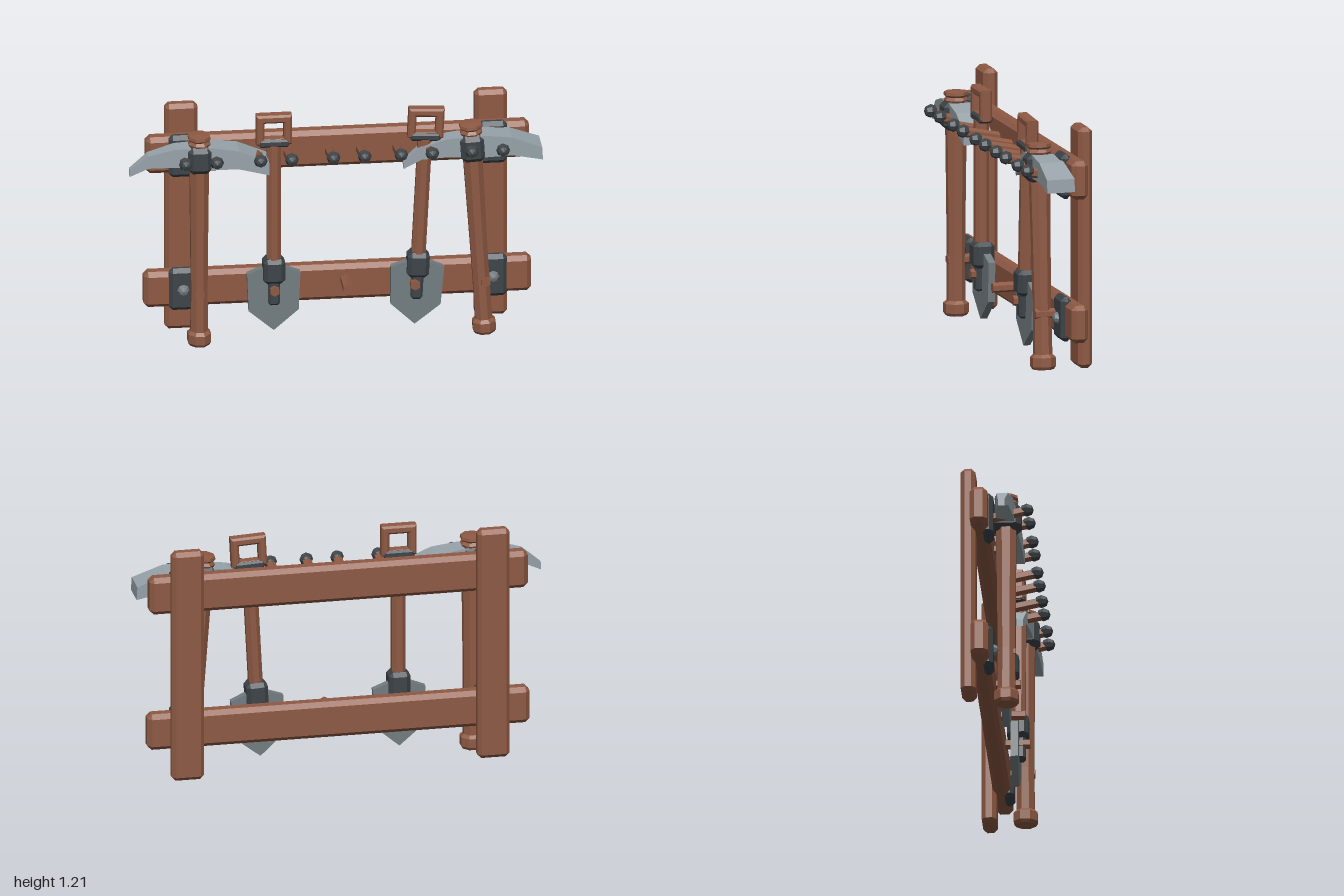
import * as THREE from 'three';
import { ConvexGeometry } from 'three/addons/geometries/ConvexGeometry.js';

const wood = new THREE.MeshStandardMaterial({ color: 0x8f5a44 });
wood.name = 'wood';
const iron = new THREE.MeshStandardMaterial({ color: 0x3d4448 });
iron.name = 'dark iron';
const steel = new THREE.MeshStandardMaterial({ color: 0x97a3aa });
steel.name = 'pale steel';
const blade = new THREE.MeshStandardMaterial({ color: 0x737d81 });
blade.name = 'grey steel';

// Facets every face so the low-poly look is kept
function add(parent, name, geometry, material, x = 0, y = 0, z = 0) {
  const g = geometry.index ? geometry.toNonIndexed() : geometry;
  g.computeVertexNormals();
  const mesh = new THREE.Mesh(g, material);
  mesh.name = name;
  mesh.position.set(x, y, z);
  parent.add(mesh);
  return mesh;
}

// Box with cut-off edges
function chamferBox(w, h, d, c) {
  const points = [];
  for (const sx of [-1, 1]) for (const sy of [-1, 1]) for (const sz of [-1, 1]) {
    for (let full = 0; full < 3; full++) {
      const cut = (i) => (i === full ? 0 : c);
      points.push(new THREE.Vector3(sx * (w / 2 - cut(0)), sy * (h / 2 - cut(1)), sz * (d / 2 - cut(2))));
    }
  }
  return new ConvexGeometry(points);
}

// Faceted turning from [radius, y] pairs, flats facing front
function turned(profile, sides) {
  const g = new THREE.LatheGeometry(profile.map(([r, y]) => new THREE.Vector2(r, y)), sides);
  return g.rotateY(Math.PI / sides);
}

// Curved bar from stations [x, bottom, top, half depth]
function pickBlade(stations) {
  const pos = [], index = [];
  for (const [x, b, t, h] of stations) pos.push(x, b, h, x, t, h, x, t, -h, x, b, -h);
  for (let i = 0; i < stations.length - 1; i++) {
    for (let k = 0; k < 4; k++) {
      const a = i * 4 + k, b = i * 4 + (k + 1) % 4;
      index.push(a, a + 4, b, b, a + 4, b + 4);
    }
  }
  const e = (stations.length - 1) * 4;
  index.push(0, 1, 2, 0, 2, 3, e, e + 2, e + 1, e, e + 3, e + 2);
  const g = new THREE.BufferGeometry();
  g.setAttribute('position', new THREE.Float32BufferAttribute(pos, 3));
  g.setIndex(index);
  return g;
}

function makePickaxe() {
  const tool = new THREE.Group();
  tool.name = 'pickaxe';
  const handle = turned([[0, 0.005], [0.05, 0.01], [0.06, 0.025], [0.06, 0.07], [0.045, 0.085],
    [0.043, 0.3], [0.046, 0.6], [0.05, 0.92], [0.05, 1.06], [0.058, 1.075], [0.048, 1.09],
    [0.058, 1.1], [0.056, 1.115], [0, 1.12]], 8);
  add(tool, 'pickaxeHandle', handle.scale(1, 1, 1.05), wood, 0, 0, 0.038);
  add(tool, 'pickaxeHead', pickBlade([
    [-0.34, 0.915, 0.95, 0.016], [-0.25, 0.96, 1.025, 0.028], [-0.12, 0.965, 1.06, 0.042],
    [0.06, 0.95, 1.065, 0.055], [0.19, 0.95, 1.045, 0.062], [0.335, 0.915, 0.98, 0.07]]),
  steel, 0, 0, 0.035);
  add(tool, 'pickaxeCollar', chamferBox(0.12, 0.14, 0.145, 0.025), iron, 0, 1.0, 0.038);
  return tool;
}

function makeShovel() {
  const tool = new THREE.Group();
  tool.name = 'shovel';
  // Pointed blade
  const outline = new THREE.Shape([[-0.13, 0.36], [-0.122, 0.165], [0, 0.06], [0.122, 0.165],
    [0.13, 0.36], [0.055, 0.39], [-0.055, 0.39]].map(([x, y]) => new THREE.Vector2(x, y)));
  add(tool, 'shovelBlade', new THREE.ExtrudeGeometry(outline, { depth: 0.035, bevelEnabled: false }),
    blade, 0, 0, -0.005);
  // Socket, rib and shaft
  add(tool, 'shovelSocket', chamferBox(0.107, 0.13, 0.105, 0.02), iron, 0, 0.38, 0.022);
  add(tool, 'shovelRib', chamferBox(0.058, 0.15, 0.06, 0.012), iron, 0, 0.275, 0.03);
  add(tool, 'shovelShaft', turned([[0, 0.4], [0.037, 0.4], [0.037, 1.06], [0, 1.06]], 8), wood, 0, 0, 0.025);
  // Open grip
  const rect = (T, x, y0, y1) => new T([[-x, y0], [x, y0], [x, y1], [-x, y1]]
    .map(([a, b]) => new THREE.Vector2(a, b)));
  const grip = rect(THREE.Shape, 0.077, 1.06, 1.195);
  grip.holes.push(rect(THREE.Path, 0.058, 1.07, 1.173));
  add(tool, 'shovelGrip', new THREE.ExtrudeGeometry(grip, {
    depth: 0.04, bevelThickness: 0.01, bevelSize: 0.01, bevelSegments: 1,
  }), wood, 0, 0, 0.005);
  add(tool, 'gripBand', chamferBox(0.15, 0.04, 0.07, 0.01), iron, 0, 1.058, 0.025);
  return tool;
}

export function createModel() {
  const rack = new THREE.Group();
  rack.name = 'toolRack';

  // Frame
  for (const x of [-0.73, 0.78]) {
    add(rack, 'post', chamferBox(0.16, 1.19, 0.072, 0.02), wood, x, 0.62, -0.14);
  }
  add(rack, 'topRail', chamferBox(1.87, 0.19, 0.085, 0.022), wood, 0.025, 0.975, -0.083);
  add(rack, 'bottomRail', chamferBox(1.89, 0.185, 0.085, 0.022), wood, 0.025, 0.265, -0.079);

  // Iron plates with bolts on the lower pair
  for (const x of [-0.73, 0.78]) {
    for (const y of [0.27, 0.975]) {
      add(rack, 'bracket', chamferBox(0.14, 0.22, 0.055, 0.02), iron, x, y, -0.046);
    }
    add(rack, 'bolt', new THREE.SphereGeometry(0.03, 8, 4).rotateX(Math.PI / 2).scale(1, 1, 0.8),
      blade, x, 0.27, -0.018);
  }

  // Pairs of tipped pegs on the top rail, single pegs below
  for (const x of [-0.66, -0.295, 0.06, 0.39, 0.735]) {
    for (const side of [-1, 1]) {
      const px = x + side * 0.076;
      const peg = add(rack, 'peg', new THREE.CylinderGeometry(0.025, 0.025, 0.19, 6), wood, px, 0.985, 0.035);
      peg.rotation.x = Math.PI / 2 - 0.2;
      add(rack, 'pegTip', new THREE.SphereGeometry(0.034, 8, 4).rotateX(Math.PI / 2), iron, px, 1.01, 0.142);
    }
    add(rack, 'lowerPeg', new THREE.CylinderGeometry(0.025, 0.025, 0.14, 6).rotateX(Math.PI / 2),
      wood, x, 0.285, 0.013);
  }

  // Hung tools: [maker, foot x, lean]
  for (const [make, x, lean] of [[makePickaxe, -0.66, 0], [makePickaxe, 0.732, 0.062],
    [makeShovel, -0.295, 0], [makeShovel, 0.388, -0.052]]) {
    const tool = make();
    tool.position.x = x;
    tool.rotation.z = lean;
    rack.add(tool);
  }
  return rack;
}
